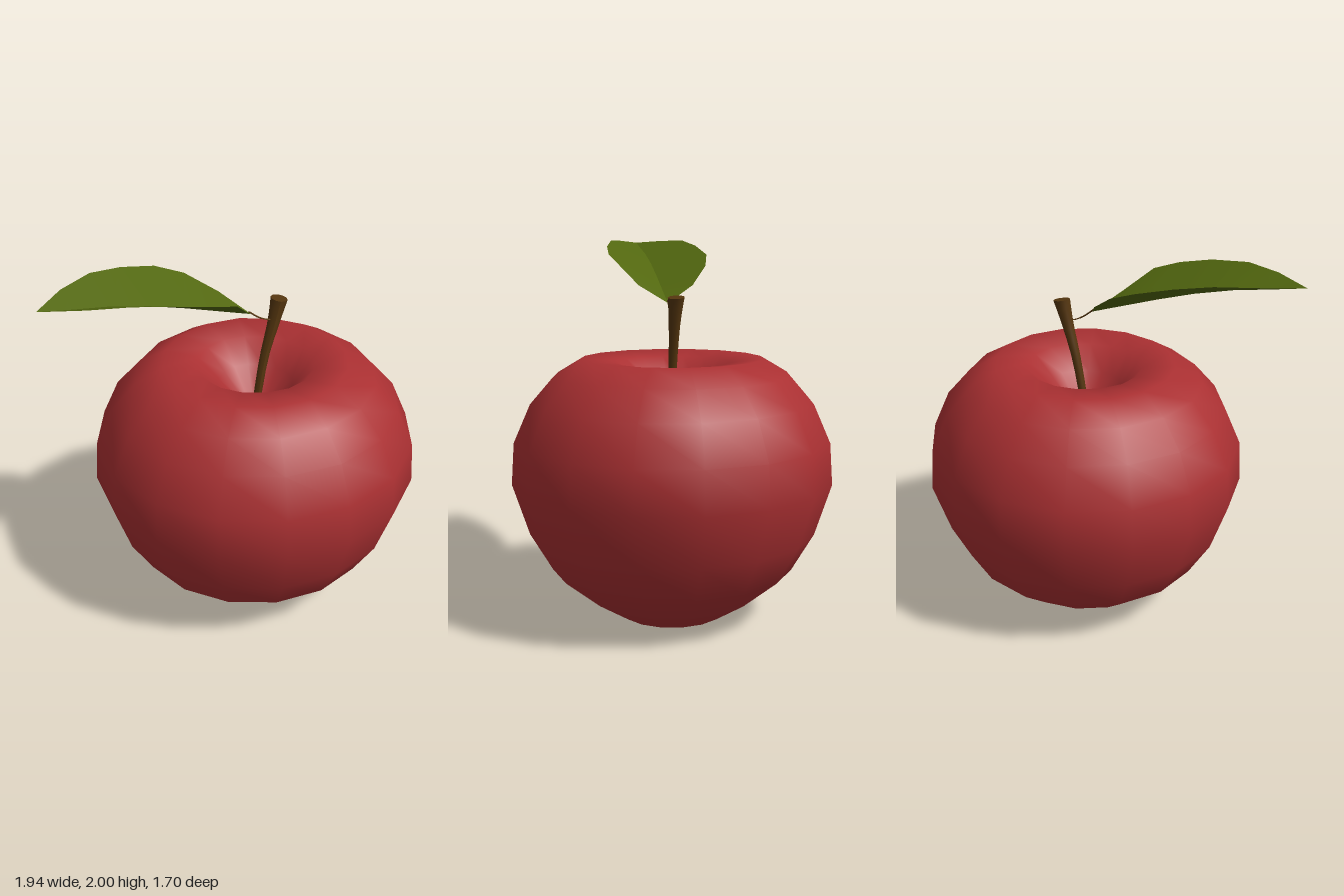
import * as THREE from 'three';

const skin = new THREE.MeshStandardMaterial({ name: 'red skin', color: 0xaa3032 });
const leafGreen = new THREE.MeshStandardMaterial({ name: 'leaf green', color: 0x52670f, side: THREE.DoubleSide });
const bark = new THREE.MeshStandardMaterial({ name: 'stem brown', color: 0x55360f });

const v = (x, y, z) => new THREE.Vector3(x, y, z);

function part(name, geometry, material) {
  const mesh = new THREE.Mesh(geometry, material);
  mesh.name = name;
  return mesh;
}

// Tapered stalk: a cylinder whose rings follow a curve, with a slightly tilted top
function stalk(points, radiusAt, sides, rings, tilt = 0) {
  const curve = new THREE.CatmullRomCurve3(points);
  const geo = new THREE.CylinderGeometry(1, 1, 1, sides, rings);
  const pos = geo.attributes.position;
  for (let i = 0; i < pos.count; i++) {
    const t = pos.getY(i) + 0.5;
    const c = curve.getPoint(t);
    const r = radiusAt(t);
    const x = pos.getX(i) * r, z = pos.getZ(i) * r;
    pos.setXYZ(i, c.x + x, c.y - x * tilt * t, c.z + z);
  }
  geo.computeVertexNormals();
  return geo;
}

// One half of the leaf blade between two rails, with its own normals so the midrib stays creased
function bladeHalf(railA, railB) {
  const pos = [], index = [];
  railA.forEach((a, i) => pos.push(...a, ...railB[i]));
  for (let i = 0; i < railA.length - 1; i++) {
    const a = i * 2;
    index.push(a, a + 1, a + 2, a + 1, a + 3, a + 2);
  }
  const geo = new THREE.BufferGeometry();
  geo.setAttribute('position', new THREE.Float32BufferAttribute(pos, 3));
  geo.setIndex(index);
  geo.computeVertexNormals();
  return geo;
}

export function createModel() {
  const model = new THREE.Group();
  model.name = 'apple';

  // Fruit body with a hollow at the base and the top
  const profile = [
    [0, 0.13], [0.1, 0.11], [0.18, 0.045], [0.235, 0.008], [0.29, 0.005],
    [0.46, 0.11], [0.66, 0.27], [0.78, 0.47], [0.87, 0.74], [0.855, 0.96],
    [0.765, 1.16], [0.64, 1.3], [0.49, 1.387], [0.31, 1.365], [0.2, 1.25],
    [0.09, 1.13], [0, 1.1],
  ].map(([r, y]) => new THREE.Vector2(r, y));
  const body = part('fruitBody', new THREE.LatheGeometry(profile, 16), skin);
  body.geometry.rotateY(0.02);
  body.geometry.scale(1, 1, 0.975);
  body.position.x = 0.1;
  model.add(body);

  // Stem flaring toward its cut end
  const stemPath = [v(0.1, 1.08, 0.01), v(0.15, 1.39, -0.015), v(0.2, 1.58, -0.035), v(0.23, 1.708, -0.05)];
  model.add(part('stem', stalk(stemPath, t => 0.021 + 0.023 * t * t, 10, 8, 0.18), bark));

  // Thin stalk joining leaf and stem
  const leafStalkPath = [v(0.2, 1.605, -0.03), v(0.16, 1.61, -0.015), v(0.11, 1.64, 0.01), v(0.06, 1.685, 0.033)];
  model.add(part('leafStalk', stalk(leafStalkPath, t => 0.009 - 0.003 * t, 6, 6), bark));

  // Leaf: two halves rising from a lower midrib
  const base = [0.07, 1.67, 0.03], tip = [-0.97, 1.99, 0.48];
  const midrib = [base, [-0.02, 1.705, 0.07], [-0.15, 1.755, 0.125], [-0.28, 1.805, 0.18],
    [-0.455, 1.867, 0.255], [-0.64, 1.92, 0.335], [-0.81, 1.955, 0.41], tip];
  const backEdge = [base, [-0.08, 1.76, -0.07], [-0.25, 1.86, -0.105], [-0.4, 1.92, -0.08],
    [-0.57, 1.97, 0.02], [-0.72, 2, 0.13], [-0.86, 2, 0.29], tip];
  const frontEdge = [base, [0.03, 1.76, 0.2], [-0.05, 1.875, 0.34], [-0.16, 1.92, 0.42],
    [-0.33, 1.965, 0.48], [-0.55, 2, 0.52], [-0.75, 2, 0.52], tip];
  const leaf = new THREE.Group();
  leaf.name = 'leaf';
  leaf.add(part('leafBackHalf', bladeHalf(midrib, backEdge), leafGreen));
  leaf.add(part('leafFrontHalf', bladeHalf(frontEdge, midrib), leafGreen));
  model.add(leaf);

  return model;
}
